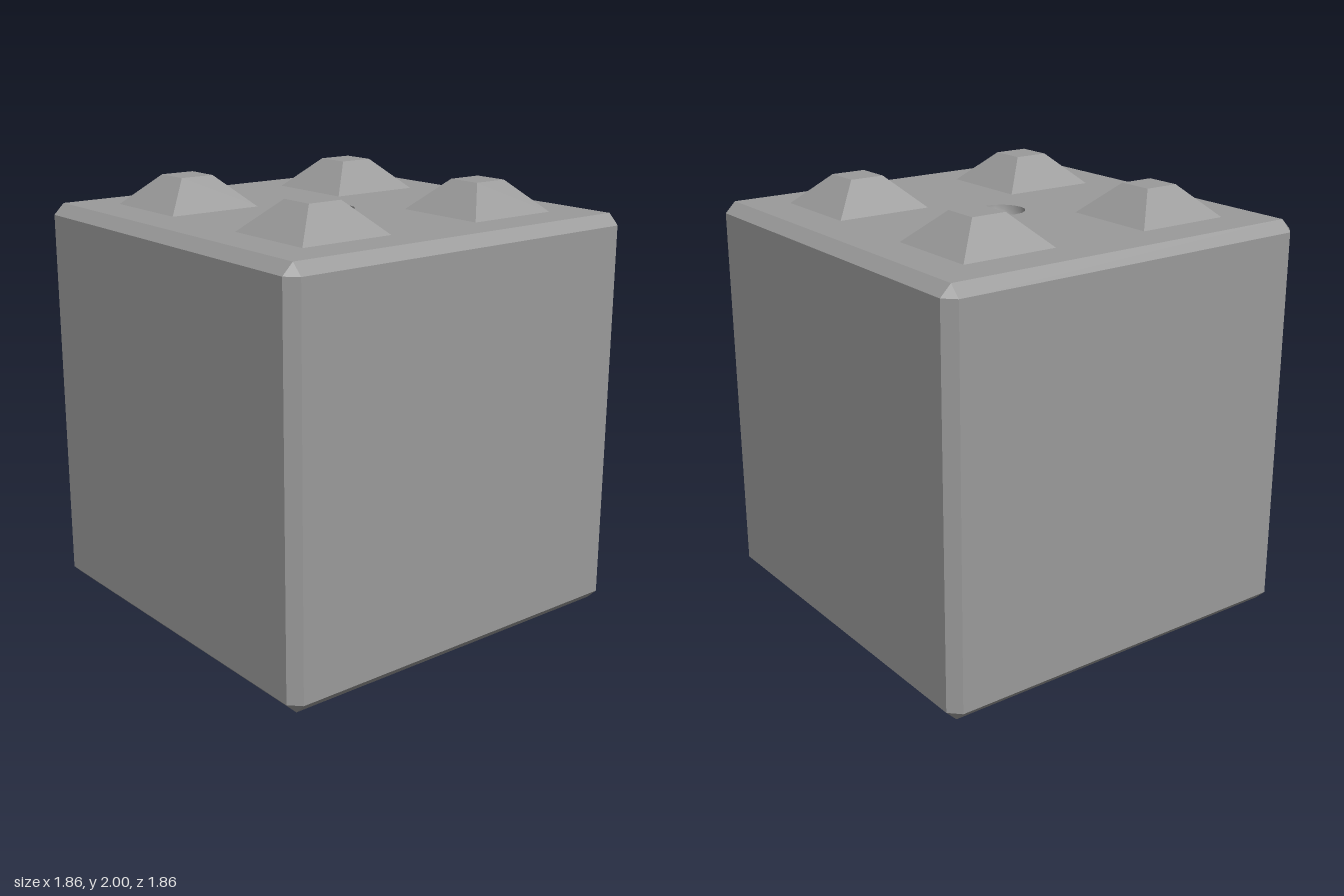
import * as THREE from 'three';

const HALF = 0.93, CORE = 0.88, BEVEL = 0.05, TOP = 1.86;
const SPACING = 0.465, TIP = 0.0825;
const STUD = 0.2275, PIT = 0.244, PIT_DEPTH = 0.16;
const DIMPLE = 0.11, DIMPLE_SIDES = 16;

const GREY = 0x9b9b9b;
const flat = new THREE.MeshStandardMaterial({ color: GREY, flatShading: true });
const smooth = new THREE.MeshStandardMaterial({ color: GREY, side: THREE.DoubleSide });

function addMesh(parent, name, geometry, material = flat) {
  const mesh = new THREE.Mesh(geometry, material);
  mesh.name = name;
  parent.add(mesh);
  return mesh;
}

// Corners of a regular ring, or of a square given by its half width
const ringPoints = (r, sides) => Array.from({ length: sides }, (_, i) => {
  const a = (i / sides) * Math.PI * 2;
  return new THREE.Vector2(Math.cos(a) * r, Math.sin(a) * r);
});
const square = (h, x = 0, y = 0) =>
  [[-1, -1], [1, -1], [1, 1], [-1, 1]].map(([a, b]) => new THREE.Vector2(x + a * h, y + b * h));

// Four-sided lathe: profile is [half width, height] pairs
function squareLathe(profile) {
  const points = profile.map(([h, y]) => new THREE.Vector2(h * Math.SQRT2, y));
  return new THREE.LatheGeometry(points, 4, Math.PI / 4);
}

// Bevelled side walls: eight-point rings that close to squares at both ends
function wallGeometry() {
  const rings = [[CORE, 0], [HALF, BEVEL], [HALF, TOP - BEVEL], [CORE, TOP]];
  const position = [], index = [];
  for (const [w, y] of rings) {
    for (const [x, z] of [[w, CORE], [w, -CORE], [CORE, -w], [-CORE, -w],
      [-w, -CORE], [-w, CORE], [-CORE, w], [CORE, w]]) position.push(x, y, z);
  }
  for (let r = 0; r < 3; r++) {
    for (let i = 0; i < 8; i++) {
      const a = r * 8 + i, b = r * 8 + (i + 1) % 8;
      index.push(a, b, b + 8, a, b + 8, a + 8);
    }
  }
  const geometry = new THREE.BufferGeometry();
  geometry.setAttribute('position', new THREE.Float32BufferAttribute(position, 3));
  geometry.setIndex(index);
  geometry.computeVertexNormals();
  return geometry;
}

// Square plate with openings
function plateGeometry(holes) {
  const shape = new THREE.Shape(square(CORE));
  for (const points of holes) shape.holes.push(new THREE.Path(points));
  return new THREE.ShapeGeometry(shape);
}

export function createModel() {
  const model = new THREE.Group();
  model.name = 'stackingBlock';
  const centres = square(SPACING);

  // Body
  addMesh(model, 'walls', wallGeometry());
  const topFace = addMesh(model, 'topFace', plateGeometry([ringPoints(DIMPLE, DIMPLE_SIDES)]));
  topFace.rotation.x = -Math.PI / 2;
  topFace.position.y = TOP;
  const bottomFace = addMesh(model, 'bottomFace', plateGeometry(centres.map((c) => square(PIT, c.x, c.y))));
  bottomFace.rotation.x = Math.PI / 2;

  // Studs on top and matching sockets underneath
  const studGeometry = squareLathe([[STUD, TOP], [TIP, 2], [0, 2]]);
  const socketGeometry = squareLathe([[0, PIT_DEPTH], [TIP, PIT_DEPTH], [PIT, 0]]);
  for (const c of centres) {
    addMesh(model, 'stud', studGeometry).position.set(c.x, 0, c.y);
    addMesh(model, 'socket', socketGeometry).position.set(c.x, 0, c.y);
  }

  // Round dimple in the middle of the top
  const bowl = [];
  for (let i = 0; i <= 8; i++) {
    const a = (i / 8) * Math.PI / 2;
    bowl.push(new THREE.Vector2(i === 8 ? 0 : DIMPLE * Math.cos(a), TOP - DIMPLE * Math.sin(a)));
  }
  addMesh(model, 'dimple', new THREE.LatheGeometry(bowl, DIMPLE_SIDES), smooth);

  return model;
}
